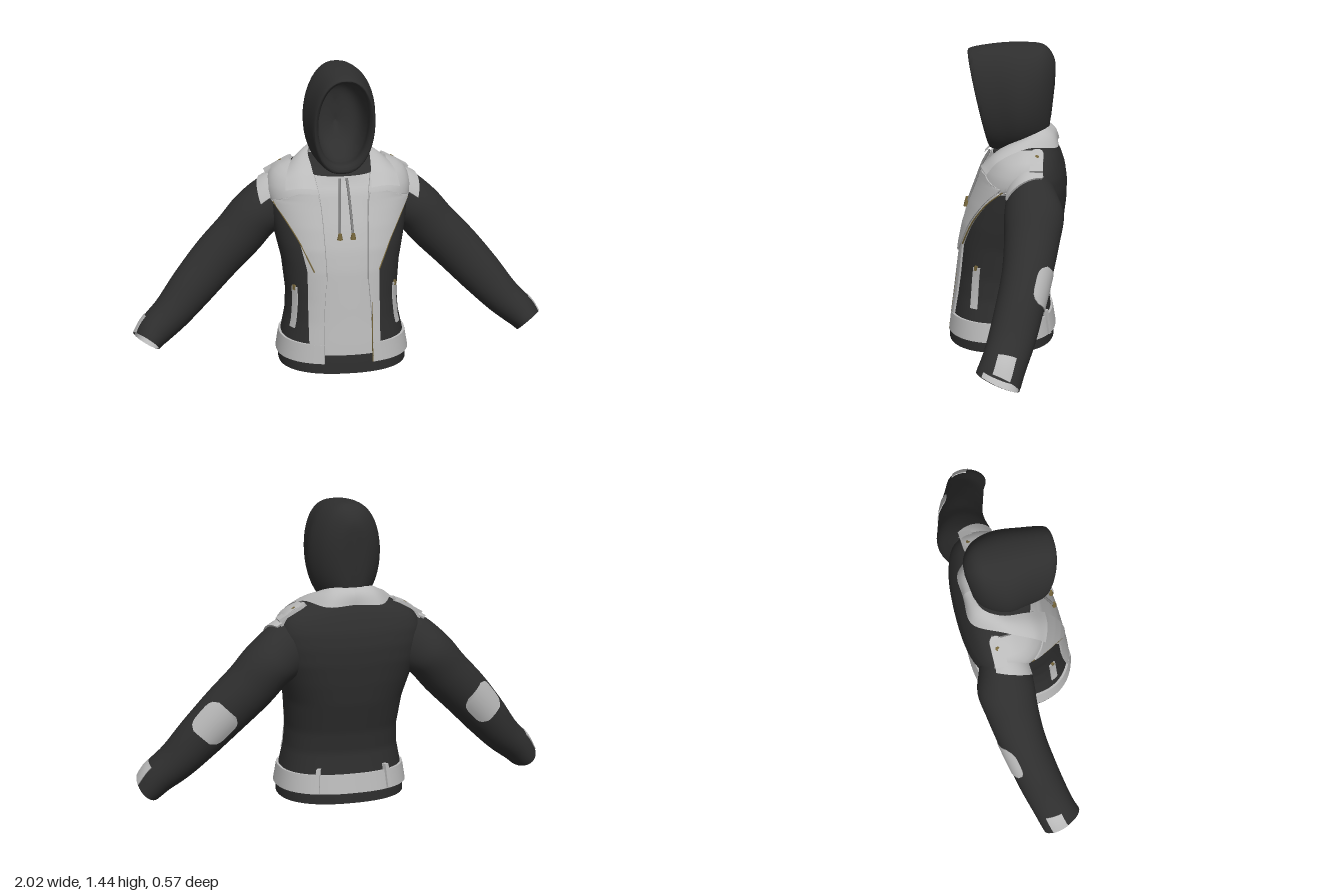
import * as THREE from 'three';
import { mergeVertices, toCreasedNormals } from 'three/addons/utils/BufferGeometryUtils.js';

const V = (x, y, z) => new THREE.Vector3(x, y, z);
const paint = (name, color) => {
  const m = new THREE.MeshStandardMaterial({ color, side: THREE.DoubleSide });
  m.name = name;
  return m;
};

// Linear lookup in rows that start with y
function at(rows, y) {
  let i = 0;
  while (i < rows.length - 2 && y > rows[i + 1][0]) i++;
  const a = rows[i], b = rows[i + 1];
  const k = THREE.MathUtils.clamp((y - a[0]) / (b[0] - a[0]), 0, 1);
  return a.map((n, j) => n + (b[j] - n) * k);
}

// Torso profile: y, half width, front z, back z, z of the widest point, roundness of the back
const TORSO = [
  [0, 0.31, 0.286, -0.224, 0.03, 0.85], [0.06, 0.312, 0.282, -0.222, 0.03, 0.85],
  [0.15, 0.297, 0.272, -0.207, 0.025, 0.85], [0.25, 0.276, 0.259, -0.195, 0.015, 0.85],
  [0.35, 0.27, 0.247, -0.208, 0.005, 0.82], [0.5, 0.285, 0.228, -0.25, -0.02, 0.78],
  [0.6, 0.308, 0.207, -0.268, -0.05, 0.68], [0.7, 0.328, 0.174, -0.28, -0.08, 0.55],
  [0.78, 0.338, 0.142, -0.282, -0.09, 0.5], [0.85, 0.343, 0.114, -0.272, -0.1, 0.5],
  [0.9, 0.33, 0.094, -0.255, -0.11, 0.55], [0.94, 0.298, 0.08, -0.238, -0.11, 0.65],
  [0.98, 0.2, 0.07, -0.212, -0.1, 0.85],
];
const POW = 0.85;
const bend = (n, p = POW) => Math.sign(n) * Math.abs(n) ** p;

// Point on the torso; angle 0 is the front centre, positive toward +x. The neckline dips in front.
function torso(y, angle, off = 0) {
  const [, w, zf, zb, zc, round] = at(TORSO, y);
  const c = Math.cos(angle), depth = c > 0 ? zf - zc : zc - zb;
  const z = zc + (depth + off) * bend(c, c > 0 ? POW : round);
  const lift = THREE.MathUtils.clamp((y - 0.8) / 0.15, 0, 1) * off;
  const dip = THREE.MathUtils.clamp((y - 0.86) / 0.12, 0, 1) * 0.32 * Math.max(0, z + 0.08);
  return V((w + off) * bend(Math.sin(angle)), y + lift - dip, z);
}
// Angle at a given x; values past the half width wrap round the side
function angleAt(x, y) {
  const w = at(TORSO, y)[1], a = Math.abs(x);
  return Math.sign(x) * (a < w ? Math.asin((a / w) ** (1 / POW)) : Math.PI / 2 + (a - w) * 2);
}

// Sleeve path and its radii (in the front plane, along z)
const ARM = new THREE.CatmullRomCurve3([
  V(0.2, 0.8, -0.12), V(0.29, 0.77, -0.125), V(0.39, 0.705, -0.137), V(0.48, 0.605, -0.13), V(0.595, 0.49, -0.113),
  V(0.715, 0.36, -0.082), V(0.82, 0.245, -0.05), V(0.91, 0.165, -0.018), V(0.95, 0.118, 0)]);
const GIRTH = new THREE.CatmullRomCurve3([
  V(0.12, 0.09, 0), V(0.137, 0.115, 0), V(0.126, 0.137, 0), V(0.124, 0.126, 0), V(0.12, 0.115, 0),
  V(0.11, 0.11, 0), V(0.094, 0.107, 0), V(0.083, 0.1, 0), V(0.071, 0.096, 0)]);
// Point on a sleeve; angle 0 is the top, positive toward the front. The cuff is cut aslant.
function sleeve(side, t, angle, off = 0) {
  const p = ARM.getPoint(t), d = ARM.getTangent(t), r = GIRTH.getPoint(t);
  const l = Math.hypot(d.x, d.y), k = (r.x + off) * Math.cos(angle);
  const slant = -0.042 * THREE.MathUtils.smoothstep(t, 0.75, 1) * Math.sin(angle);
  return V(side * (p.x - d.y / l * k + d.x * slant), p.y + d.x / l * k + d.y * slant,
    p.z + (r.y + off) * Math.sin(angle));
}

// Hood loops from the inner back, out over the rim, to the outer back
const HOOD_TOP = new THREE.CatmullRomCurve3([ // x holds the half width
  V(0, 1.24, -0.17), V(0.1, 1.33, -0.14), V(0.13, 1.41, 0), V(0.122, 1.395, 0.165), V(0.14, 1.412, 0.19),
  V(0.16, 1.437, 0.08), V(0.172, 1.446, -0.07), V(0.138, 1.434, -0.17), V(0.08, 1.37, -0.218), V(0, 1.26, -0.222)]);
const HOOD_LOW = new THREE.CatmullRomCurve3([
  V(0, 1.15, -0.17), V(0, 1.04, -0.1), V(0, 0.985, 0), V(0, 0.975, 0.075), V(0, 0.945, 0.085),
  V(0, 0.93, 0), V(0, 0.94, -0.06), V(0, 0.96, -0.13), V(0, 0.99, -0.18), V(0, 1.1, -0.205)]);
function hoodPoint(u, v) {
  const a = HOOD_TOP.getPoint(v), b = HOOD_LOW.getPoint(v), q = u * Math.PI * 2;
  const k = (Math.cos(q) + 1) / 2;
  return V(a.x * bend(Math.sin(q)), b.y + (a.y - b.y) * k, b.z + (a.z - b.z) * k);
}

export function createModel() {
  const model = new THREE.Group();
  const dark = paint('charcoal cloth', 0x2e2e2e), light = paint('pale grey leather', 0xbababa);
  const cord = paint('grey cord', 0x858585), brass = paint('aged brass', 0x75653a);

  const add = (name, geo, mat) => {
    const mesh = new THREE.Mesh(geo, mat);
    mesh.name = name;
    model.add(mesh);
    return mesh;
  };
  // Surface f(u, v, off); with an offset its border folds down to the base
  function surface(name, mat, f, nu, nv, off = 0) {
    const e = off ? 1 : 0, cols = nu + 2 * e, rows = nv + 2 * e, pos = [], idx = [];
    for (let j = 0; j <= rows; j++) for (let i = 0; i <= cols; i++) {
      const border = e && (i === 0 || j === 0 || i === cols || j === rows);
      const u = THREE.MathUtils.clamp((i - e) / nu, 0, 1), v = THREE.MathUtils.clamp((j - e) / nv, 0, 1);
      pos.push(...f(u, v, border ? 0 : off).toArray());
    }
    for (let j = 0; j < rows; j++) for (let i = 0; i < cols; i++) {
      const a = j * (cols + 1) + i, b = a + cols + 1;
      idx.push(a, a + 1, b, a + 1, b + 1, b);
    }
    const g = new THREE.BufferGeometry();
    g.setAttribute('position', new THREE.Float32BufferAttribute(pos, 3));
    g.setIndex(idx);
    return add(name, toCreasedNormals(mergeVertices(g), 0.9), mat);
  }
  // Panel on the torso from rows of [y, x start, x end]
  const panel = (name, mat, rows, off, side = 1, nu = 12, nv = 32) => surface(name, mat, (u, v, o) => {
    const y0 = rows[0][0], y = y0 + (rows[rows.length - 1][0] - y0) * v, [, a, b] = at(rows, y);
    return torso(y, side * THREE.MathUtils.lerp(angleAt(a, y), angleAt(b, y), u), o);
  }, nu, nv, off);
  // Panel on the torso between fixed angles
  const strap = (name, mat, y0, y1, a0, a1, off, nu = 4, lean = 0) => surface(name, mat, (u, v, o) =>
    torso(y0 + (y1 - y0) * v, a0 + (a1 - a0) * u + lean * v, o), nu, 6, off);
  const tube = (name, mat, pts, r) =>
    add(name, new THREE.TubeGeometry(new THREE.CatmullRomCurve3(pts), 24, r, 6), mat);

  // Body, closed at the hem and the neck
  surface('body', dark, (u, v) => torso(0.008 + v * 0.972, u * Math.PI * 2), 64, 56);
  for (const [name, y] of [['hemBase', 0.008], ['neckBase', 0.98]])
    surface(name, dark, (u, v) => torso(y, u * Math.PI * 2).lerp(V(0, y, -0.03), 1 - v), 64, 1);
  panel('frontInset', light, [[0.1, -0.14, 0.14], [0.97, -0.14, 0.14]], 0.004);

  // Waistband and its loops
  const gap = angleAt(0.115, 0.1);
  strap('waistband', light, 0.06, 0.15, gap, Math.PI * 2 - gap, 0.011, 60);
  for (const a of [0.52, -0.52])
    strap('beltLoop', light, 0.065, 0.18, Math.PI + a - 0.035, Math.PI + a + 0.035, 0.022);

  // Hood with its hollow inside
  surface('hood', dark, hoodPoint, 48, 60);

  for (const s of [1, -1]) {
    const w = s > 0 ? 0.15 : 0.18;
    // Jacket front with the shoulder yoke
    panel('jacketFront', light, [[0.06, 0.115, w], [0.3, 0.11, w], [0.5, 0.095, w], [0.63, 0.1, 0.21],
      [0.74, 0.105, 0.275], [0.79, 0.11, 0.315], [0.81, 0.11, 0.45], [0.97, 0.13, 0.42]], 0.01, s, 16, 44);
    panel('lapel', light, [[0.46, 0.095, 0.115], [0.5, 0.095, 0.14], [0.63, 0.1, 0.2], [0.74, 0.105, 0.265],
      [0.81, 0.11, 0.315], [0.85, 0.12, 0.2]], 0.017, s, 12, 30);
    // Zips along the lapel and the opening
    tube('lapelZip', brass, [[0.5, 0.15], [0.57, 0.182], [0.63, 0.21], [0.69, 0.245], [0.74, 0.277], [0.8, 0.318]]
      .map(([y, x]) => torso(y, s * angleAt(x, y), 0.009)), 0.0035);
    if (s > 0) tube('openingZip', brass, [0.06, 0.15, 0.25, 0.35]
      .map(y => torso(y, angleAt(0.113, y), 0.008)), 0.003);

    // Slanted pocket with a zip pull
    strap('pocket', light, 0.21, 0.41, s * 0.99, s * 1.15, 0.006, 4, -s * 0.05);
    strap('pocketZipPull', brass, 0.395, 0.418, s * 0.98, s * 1.04, 0.01);

    // Sleeve, elbow and cuff patches
    surface('sleeve', dark, (u, v) => sleeve(s, v, u * Math.PI * 2), 32, 48);
    surface('shoulderPatch', light, (u, v, o) => sleeve(s, 0.05 + v * (0.09 + 0.06 * u), -0.4 + u * 1.55, o), 14, 6, 0.009);
    surface('elbowPatch', light, (u, v, o) => {
      const half = 0.8 * Math.sqrt(1 - 0.7 * (2 * v - 1) ** 4);
      return sleeve(s, 0.495 + v * 0.125, -1.32 + (2 * u - 1) * half, o);
    }, 10, 10, 0.004);
    surface('cuffPatch', light, (u, v, o) => sleeve(s, 0.85 + v * 0.148, -0.6 + u * 0.8, o), 8, 8, 0.004);
    surface('cuffLining', light, (u, v) => sleeve(s, 0.94 + v * 0.06, 2.2 + u * 3.4, -0.005), 20, 4);

    // Turned-down collar
    const inner = new THREE.CatmullRomCurve3([V(0, 1.052, -0.2), V(0.1, 1.05, -0.172), V(0.145, 1.02, -0.09),
      V(0.142, 0.965, 0.03), V(0.13, 0.88, 0.122)]);
    const outer = new THREE.CatmullRomCurve3([V(0, 0.977, -0.238), V(0.13, 0.97, -0.232), V(0.215, 0.983, -0.1),
      V(0.264, 0.93, 0.035), V(0.275, 0.872, 0.088)]);
    surface('collar', light, (u, v) => {
      const p = inner.getPoint(v).lerp(outer.getPoint(v), u), b = 0.011 * Math.sin(u * Math.PI);
      return V(s * p.x, p.y + b, p.z + b * (2 * v - 1));
    }, 8, 28);

    // Shoulder tab with a button
    const tab = new THREE.Group();
    tab.name = 'shoulderTab';
    const strip = new THREE.Mesh(new THREE.BoxGeometry(0.12, 0.014, 0.06), light);
    const end = new THREE.Mesh(new THREE.CylinderGeometry(0.03, 0.03, 0.014, 16), light);
    const button = new THREE.Mesh(new THREE.CylinderGeometry(0.01, 0.01, 0.008, 12), brass);
    strip.name = 'tabStrip'; end.name = 'tabEnd'; button.name = 'tabButton';
    end.position.x = -s * 0.06;
    button.position.set(-s * 0.03, 0.009, 0);
    tab.add(strip, end, button);
    tab.position.set(s * 0.297, 0.936, -0.145);
    tab.rotation.z = -s * 0.5;
    model.add(tab);

    // Drawstring with a metal tip
    tube('drawstring', cord, [[0.95, 0.016], [0.86, 0.02], [0.76, 0.026], [0.67, 0.03]]
      .map(([y, x]) => torso(y, s * angleAt(x, y), 0.012)), 0.006);
    const tip = add('drawstringTip', new THREE.CylinderGeometry(0.008, 0.014, 0.03, 10), brass);
    tip.position.copy(torso(0.668, s * angleAt(0.03, 0.668), 0.016));
  }
  return model;
}
